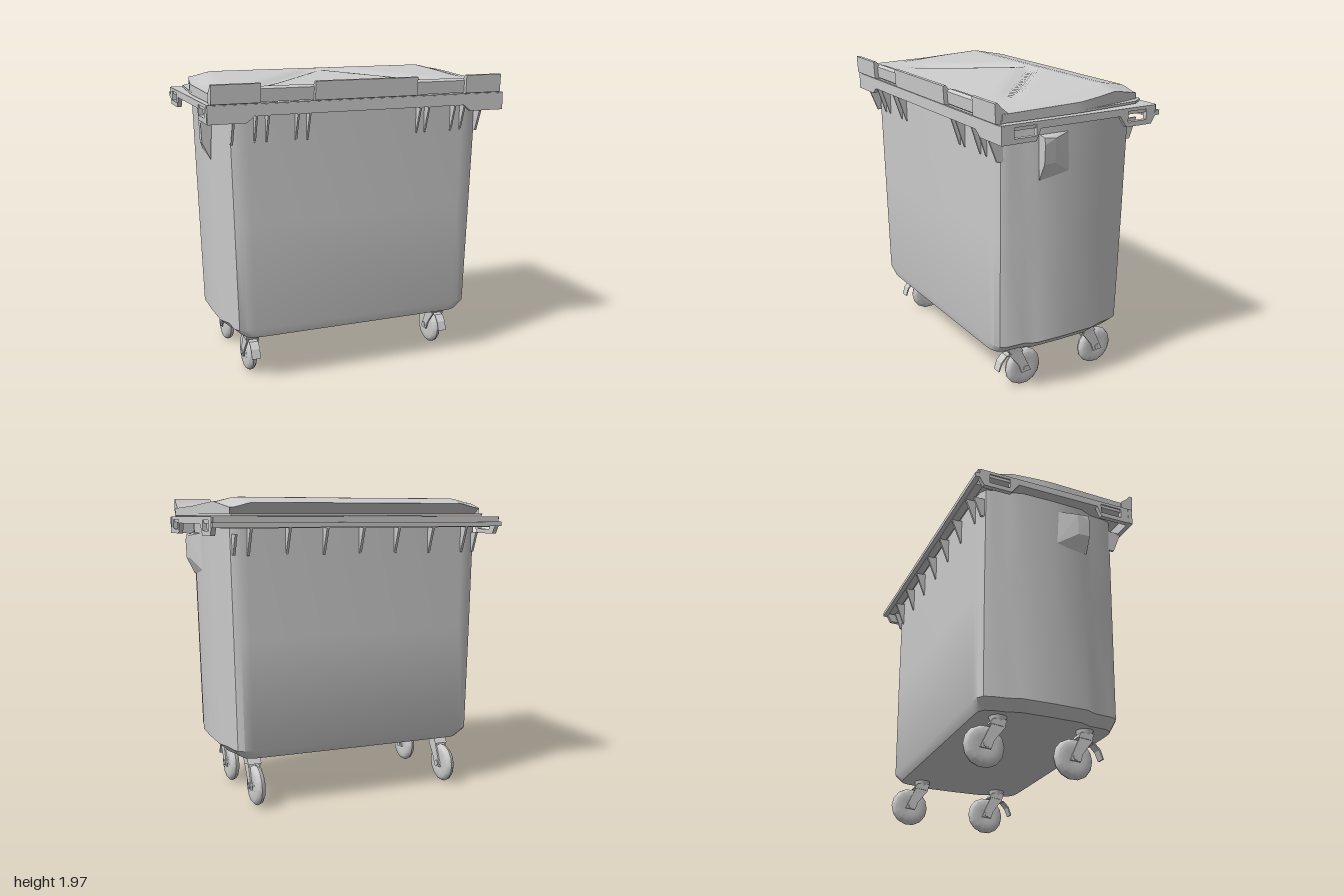
import * as THREE from 'three';
import { toCreasedNormals } from 'three/addons/utils/BufferGeometryUtils.js';
import { ConvexGeometry } from 'three/addons/geometries/ConvexGeometry.js';

const grey = new THREE.MeshStandardMaterial({ color: 0xcccccc, side: THREE.DoubleSide });

function add(parent, name, geo, x = 0, y = 0, z = 0) {
  const m = new THREE.Mesh(geo, grey);
  m.name = name;
  m.position.set(x, y, z);
  parent.add(m);
  return m;
}

// Box given by its limits
function block(parent, name, x0, x1, y0, y1, z0, z1) {
  return add(parent, name, new THREE.BoxGeometry(x1 - x0, y1 - y0, z1 - z0),
    (x0 + x1) / 2, (y0 + y1) / 2, (z0 + z1) / 2);
}

const toShape = pts => new THREE.Shape(pts.map(p => new THREE.Vector2(p[0], p[1])));

// Plate with a [z, y] outline, thickness running along x and centred on 0
function sidePlate(pts, thick, holes = []) {
  const s = toShape(pts.map(([z, y]) => [-z, y]));
  holes.forEach(h => s.holes.push(new THREE.Path(h.map(([z, y]) => new THREE.Vector2(-z, y)))));
  const g = new THREE.ExtrudeGeometry(s, { depth: thick, bevelEnabled: false });
  return g.translate(0, 0, -thick / 2).rotateY(Math.PI / 2);
}

// Closed rings of [x, y, z] points joined by quads, first ring capped
function loft(rings, crease) {
  const n = rings[0].length, pos = rings.flat(2), idx = [];
  for (let r = 0; r < rings.length - 1; r++)
    for (let i = 0; i < n; i++) {
      const a = r * n + i, b = r * n + (i + 1) % n;
      idx.push(a, a + n, b, b, a + n, b + n);
    }
  for (let i = 1; i < n - 1; i++) idx.push(0, i, i + 1);
  const g = new THREE.BufferGeometry();
  g.setAttribute('position', new THREE.Float32BufferAttribute(pos, 3));
  g.setIndex(idx);
  return toCreasedNormals(g, crease);
}

// Tub: rounded corners and side walls that bulge in the middle
function buildBody(group) {
  const half = [[0.74, 0.49], [0.8, 0.485], [0.845, 0.465], [0.87, 0.42], [0.878, 0.3],
    [0.915, 0.22], [0.922, 0], [0.92, -0.22], [0.89, -0.31], [0.878, -0.4],
    [0.86, -0.45], [0.82, -0.475], [0.76, -0.48]];
  const loop = [...half, ...half.map(([x, z]) => [-x, z]).reverse()];
  const ring = (y, sx, zf, zb) => loop.map(([x, z]) => [x * sx, y, z * (z > 0 ? zf : zb)]);
  add(group, 'body', loft([ring(0.325, 0.89, 0.93, 0.92), ring(0.385, 0.96, 0.96, 0.99),
    ring(1.1, 0.98, 0.98, 1), ring(1.83, 1, 1, 1)], 0.6));
  // Grip swellings high on the side walls
  for (const s of [-1, 1]) {
    const pts = [[0.9, 1.75, 0.24], [0.962, 1.74, 0.24], [0.97, 1.7, 0.24], [0.965, 1.58, 0.24],
      [0.91, 1.47, 0.24], [0.965, 1.73, 0.16], [0.96, 1.58, 0.16], [0.91, 1.75, 0.02], [0.91, 1.5, 0.02]];
    add(group, 'sideGrip', new ConvexGeometry(pts.map(([x, y, z]) => new THREE.Vector3(s * x, y, z))));
  }
}

function buildRim(group) {
  block(group, 'rimPlate', -0.99, 0.99, 1.815, 1.855, -0.56, 0.55);
  block(group, 'rearSkirt', -0.93, 0.93, 1.785, 1.82, -0.55, -0.5);
  block(group, 'rearLip', -1, 1, 1.79, 1.82, -0.58, -0.545);
  // Front skirt, deeper at both ends
  const skirt = toShape([[-1, 1.74], [-0.76, 1.74], [-0.71, 1.78], [0.71, 1.78], [0.76, 1.74],
    [1, 1.74], [1, 1.85], [-1, 1.85]]);
  add(group, 'frontSkirt', new THREE.ExtrudeGeometry(skirt, { depth: 0.03, bevelEnabled: false }), 0, 0, 0.525);
  // Side rails with lifting openings near each corner
  const rail = [[0.553, 1.74], [0.32, 1.74], [0.29, 1.81], [-0.28, 1.81], [-0.33, 1.74],
    [-0.52, 1.74], [-0.55, 1.79], [-0.55, 1.855], [0.553, 1.855]];
  const hole = (a, b) => [[a, 1.77], [b, 1.77], [b, 1.835], [a, 1.835]];
  for (const s of [-1, 1])
    add(group, 'sideRail', sidePlate(rail, 0.03, [hole(0.32, 0.47), hole(-0.48, -0.34)]), s * 0.983);
  // Stiffening ribs under the rim
  const frontRib = [[0.55, 1.78], [0.47, 1.78], [0.47, 1.6], [0.492, 1.61]];
  for (const x of [-0.695, -0.62, -0.43, -0.355, 0.4, 0.46, 0.65, 0.72])
    add(group, 'frontRib', sidePlate(frontRib, 0.012), x);
  const rearRib = [[-0.55, 1.79], [-0.46, 1.79], [-0.46, 1.61], [-0.485, 1.62]];
  for (let i = -3; i <= 3; i++) add(group, 'rearRib', sidePlate(rearRib, 0.016), i * 0.25);
  // Outer corner gussets
  for (const s of [-1, 1]) {
    add(group, 'frontGusset', sidePlate([[0.55, 1.75], [0.4, 1.75], [0.4, 1.6], [0.49, 1.6]], 0.015), s * 0.84);
    add(group, 'rearGusset', sidePlate([[-0.53, 1.75], [-0.4, 1.75], [-0.4, 1.62], [-0.48, 1.62]], 0.015), s * 0.84);
  }
}

function buildLid(group) {
  const lid = new THREE.Group();
  lid.name = 'lid';
  group.add(lid);
  // Flat flange resting on the rim
  const edge = [[0.97, 0.54], [0.97, 0], [0.93, -0.45], [0.87, -0.53]];
  const outline = toShape([...edge, ...edge.map(([x, z]) => [-x, z]).reverse()]);
  const flange = new THREE.ExtrudeGeometry(outline, { depth: 0.015, bevelEnabled: false });
  add(lid, 'lidFlange', flange.rotateX(Math.PI / 2), 0, 1.875, 0);

  // Top panel rises to the back, with two shallow diagonal creases
  const NX = 64, NZ = 36;
  const width = z => z > 0 ? 0.97 : 0.97 - 0.1 * Math.pow(-z / 0.5, 1.3);
  const height = (x, z) => {
    let y = z > -0.3 ? 1.912 + (0.5 - z) * 0.084 : 1.979 - (-0.3 - z) * 0.19;
    const off = Math.abs(x) - (0.06 + (z + 0.25) * 1.05);
    const fade = THREE.MathUtils.smoothstep(z, -0.3, -0.2) * (1 - THREE.MathUtils.smoothstep(z, 0.1, 0.42));
    y -= 0.022 * fade * Math.exp(-Math.pow(off / 0.07, 2));
    const side = THREE.MathUtils.smoothstep(Math.abs(x) / width(z), 0.82, 1);
    return y - side * (z < 0 ? 0.03 : 0.03 * (1 - z / 0.5));
  };
  const geo = new THREE.PlaneGeometry(2, 2, NX, NZ).rotateX(-Math.PI / 2);
  const p = geo.attributes.position;
  for (let i = 0; i < p.count; i++) {
    const c = i % (NX + 1), r = Math.floor(i / (NX + 1));
    const z = THREE.MathUtils.clamp(-0.5 + (r - 1) / (NZ - 2) * 1.03, -0.5, 0.53);
    const u = THREE.MathUtils.clamp((c - NX / 2) / (NX / 2 - 1), -1, 1);
    const x = u * width(z);
    // The outermost ring of vertices forms the side walls
    const wall = c === 0 || c === NX || r === 0 || r === NZ;
    p.setXYZ(i, x, wall ? 1.87 : height(x, z), r === 0 ? -0.44 : z);
  }
  add(lid, 'lidPanel', toCreasedNormals(geo, 0.5));

  // Front lip: three tall grips with two lower recesses between
  const lip = [[0.55, 1.855], [0.572, 1.86], [0.578, 1.975], [0.56, 1.978], [0.535, 1.95], [0.49, 1.913], [0.49, 1.86]];
  const low = [[0.49, 1.865], [0.545, 1.865], [0.55, 1.94], [0.53, 1.955], [0.49, 1.945]];
  const piece = (name, prof, a, b) => add(lid, name, sidePlate(prof, b - a), (a + b) / 2);
  for (const [a, b] of [[-0.98, -0.675], [-0.33, 0.36], [0.71, 0.965]]) piece('lidGrip', lip, a, b);
  for (const [a, b] of [[-0.675, -0.33], [0.36, 0.71]]) piece('gripRecess', low, a, b);
}

// Swivel caster, origin on the ground below the axle
function buildCaster(group, x, z, brake) {
  const c = new THREE.Group();
  c.name = 'caster';
  c.position.set(x, 0, z);
  group.add(c);
  const tyre = [[0.02, -0.028], [0.07, -0.034], [0.11, -0.029], [0.125, -0.016], [0.131, 0],
    [0.125, 0.016], [0.11, 0.029], [0.07, 0.034], [0.02, 0.028]].map(q => new THREE.Vector2(q[0], q[1]));
  add(c, 'wheel', toCreasedNormals(new THREE.LatheGeometry(tyre, 14).rotateZ(Math.PI / 2), 0.6), 0, 0.131, 0);
  const axle = new THREE.CylinderGeometry(0.02, 0.02, 0.1, 10).rotateZ(Math.PI / 2);
  add(c, 'axle', axle, 0, 0.131, 0);
  const arm = [[0.13, 0.3], [0.05, 0.3], [0.02, 0.24], [-0.04, 0.11], [0.03, 0.105], [0.05, 0.16], [0.12, 0.25]];
  for (const s of [-1, 1]) {
    const fork = add(c, 'forkArm', sidePlate(arm, 0.01), s * 0.044);
    fork.rotation.z = s * 0.03;
  }
  add(c, 'forkCrown', sidePlate([[0.135, 0.3], [0.045, 0.3], [0.02, 0.265], [0.11, 0.255]], 0.09));
  add(c, 'swivel', new THREE.CylinderGeometry(0.058, 0.045, 0.045, 16), 0, 0.31, 0.09);
  if (!brake) return;
  // Curved foot brake
  const pedal = [[0.09, 0.25], [0.14, 0.25], [0.18, 0.21], [0.2, 0.15],
    [0.192, 0.15], [0.17, 0.205], [0.135, 0.243], [0.09, 0.243]];
  add(c, 'brakePedal', sidePlate(pedal, 0.06));
}

export function createModel() {
  const group = new THREE.Group();
  group.name = 'wheeledBin';
  buildBody(group);
  buildRim(group);
  buildLid(group);
  for (const x of [-0.69, 0.69]) {
    buildCaster(group, x, 0.2, true);
    buildCaster(group, x, -0.385, false);
  }
  return group;
}
